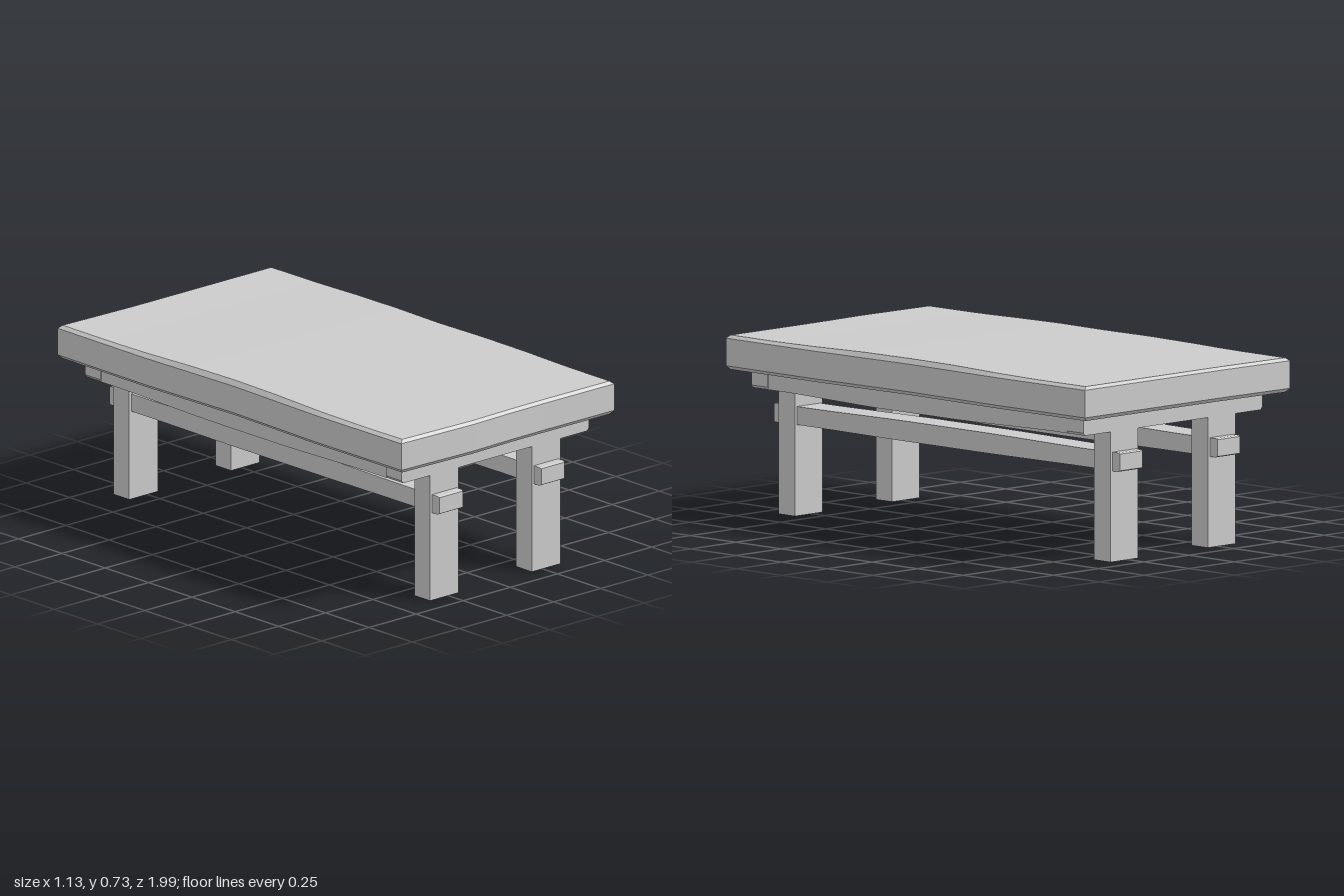
import * as THREE from 'three';

const material = new THREE.MeshStandardMaterial({ color: 0xcccccc, flatShading: true });
const openMaterial = new THREE.MeshStandardMaterial({ color: 0xcccccc, flatShading: true, side: THREE.DoubleSide });

// Piecewise-linear curve through [position, value] pairs
function curve(points, t) {
  for (let i = 1; i < points.length; i++) {
    const [a, va] = points[i - 1], [b, vb] = points[i];
    if (t <= b) return va + (vb - va) * Math.max(0, (t - a) / (b - a));
  }
  return points[points.length - 1][1];
}

// 1 in the middle of the length, fading to 0 near the ends
const swell = z => THREE.MathUtils.clamp((0.7 - Math.abs(z)) / 0.45, 0, 1);

// Moves every vertex by a rule and gives the result flat faces
function reshape(geometry, rule) {
  const p = geometry.attributes.position, v = new THREE.Vector3();
  for (let i = 0; i < p.count; i++) {
    rule(v.fromBufferAttribute(p, i));
    p.setXYZ(i, v.x, v.y, v.z);
  }
  const flat = geometry.toNonIndexed();
  flat.computeVertexNormals();
  return flat;
}

// Thick slab with worn, slightly wavy sides and bevelled top and bottom edges
function slabGeometry() {
  const side = [[0, 0.553], [0.5, 0.567], [1, 0.563]];
  const frontEdge = [[-0.56, 0.983], [-0.17, 0.995], [0.07, 0.985], [0.56, 0.988]];
  const backEdge = [[-0.56, 1], [-0.2, 0.988], [0.56, 0.987]];
  const levels = [0.585, 0.6, 0.709, 0.721];
  return reshape(new THREE.BoxGeometry(2, 3, 2, 6, 3, 16), v => {
    const row = Math.round(v.y + 1.5);
    const bevelled = row === 0 || row === 3;
    const x = v.x * curve(side, Math.abs(v.z));
    const z = v.z * curve(v.z > 0 ? frontEdge : backEdge, x);
    v.set(x * (bevelled ? 0.972 : 1), levels[row] + (row === 3 ? 0.008 * swell(z) : 0), z * (bevelled ? 0.988 : 1));
  });
}

// Long beam that grows slightly deeper in the middle
function beamGeometry(width, y0, y1, length, up, down) {
  const g = new THREE.BoxGeometry(width, y1 - y0, length, 1, 1, 16);
  g.translate(0, (y0 + y1) / 2, 0);
  const mid = (y0 + y1) / 2;
  return reshape(g, v => { v.y += swell(v.z) * (v.y > mid ? up : -down); });
}

// Cross rail with small bevels on its lower corners
function crossRailGeometry() {
  const s = new THREE.Shape();
  [[-0.497, 0.588], [-0.497, 0.525], [-0.488, 0.514], [0.488, 0.514], [0.497, 0.525], [0.497, 0.588]]
    .forEach(([x, y], i) => (i ? s.lineTo(x, y) : s.moveTo(x, y)));
  return new THREE.ExtrudeGeometry(s, { depth: 0.09, bevelEnabled: false }).translate(0, 0, -0.045);
}

// Hollow leg, open at top and foot
function legGeometry() {
  const g = new THREE.BoxGeometry(0.152, 0.514, 0.09);
  const index = Array.from(g.index.array);
  index.splice(12, 12);
  g.setIndex(index);
  return g.translate(0, 0.257, 0);
}

// Tenon end with its outer face tapered
function tenonGeometry() {
  return reshape(new THREE.BoxGeometry(0.13, 0.075, 0.04, 1, 1, 2), v => {
    if (v.z > 0.01) { v.x *= 0.95; v.y *= 0.88; } else if (v.z > -0.01) v.z = 0.011;
  });
}

export function createModel() {
  const model = new THREE.Group();
  const add = (name, geometry, x = 0, z = 0, mat = material) => {
    const mesh = new THREE.Mesh(geometry, mat);
    mesh.name = name;
    mesh.position.set(x, 0, z);
    model.add(mesh);
    return mesh;
  };

  add('tableTop', slabGeometry());

  const leg = legGeometry(), crossRail = crossRailGeometry(), tenon = tenonGeometry();
  const sideRail = beamGeometry(0.092, 0.515, 0.588, 1.65, 0, 0.01);
  const stretcher = beamGeometry(0.13, 0.36, 0.432, 1.65, 0.005, 0.003);

  for (const z of [-0.868, 0.868]) add('crossRail', crossRail, 0, z);

  for (const s of [-1, 1]) {
    add('sideRail', sideRail, s * 0.447);
    add('stretcher', stretcher, s * 0.27);
    for (const e of [-1, 1]) {
      add('leg', leg, s * 0.27, e * 0.868, openMaterial);
      // Stretcher end showing through the leg
      const end = add('tenon', tenon, s * 0.27, e * 0.932);
      end.position.y = 0.396;
      end.rotation.y = e > 0 ? 0 : Math.PI;
    }
  }
  return model;
}
